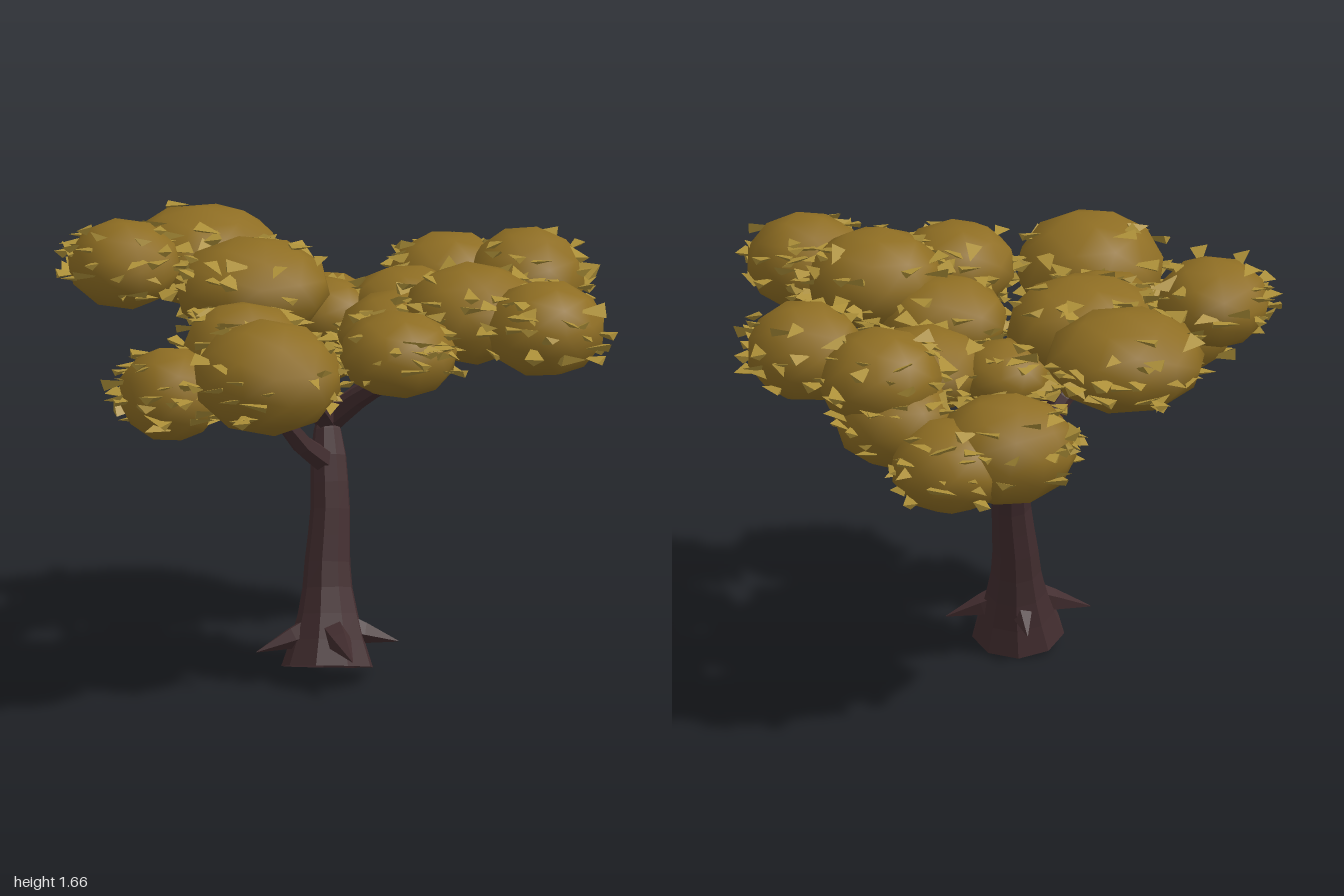
import * as THREE from 'three';
import { mergeGeometries } from 'three/addons/utils/BufferGeometryUtils.js';

const bark = new THREE.MeshStandardMaterial({ color: 0x422d2f, flatShading: true, side: THREE.DoubleSide });
bark.name = 'dark bark';
const foliage = new THREE.MeshStandardMaterial({ color: 0x8f6e23 });
foliage.name = 'ochre foliage';
const leafColor = new THREE.MeshStandardMaterial({ color: 0xac8f38, flatShading: true });
leafColor.name = 'light leaf';

// Foliage clumps: centre x, y, z and radii rx, ry, rz
const CLUMPS = [
  [-0.38, 1.41, -0.59, 0.29, 0.18, 0.28],
  [-0.31, 1.39, -0.18, 0.285, 0.18, 0.27],
  [-0.77, 1.49, -0.28, 0.205, 0.16, 0.225],
  [0.07, 1.10, -0.61, 0.26, 0.20, 0.24],
  [0.28, 1.06, -0.63, 0.22, 0.17, 0.23],
  [0.49, 1.31, -0.35, 0.23, 0.18, 0.23],
  [0.45, 1.17, -0.40, 0.215, 0.18, 0.22],
  [0.73, 1.36, -0.15, 0.215, 0.18, 0.22],
  [0.29, 1.27, -0.18, 0.22, 0.15, 0.22],
  [0.00, 1.25, -0.26, 0.17, 0.13, 0.17],
  [-0.45, 1.26, 0.20, 0.23, 0.18, 0.21],
  [-0.77, 1.16, 0.34, 0.19, 0.17, 0.21],
  [-0.29, 1.15, 0.22, 0.20, 0.15, 0.19],
  [-0.49, 1.285, 0.65, 0.27, 0.205, 0.28],
  [0.01, 1.335, 0.65, 0.215, 0.155, 0.225],
  [0.14, 1.29, 0.23, 0.235, 0.16, 0.215],
  [0.36, 1.40, 0.41, 0.25, 0.18, 0.25],
  [0.57, 1.39, 0.65, 0.22, 0.175, 0.215],
];

// Small seeded random generator
function makeRandom(seed) {
  let s = seed;
  return () => {
    s = (s * 16807) % 2147483647;
    return s / 2147483647;
  };
}

// Tapered tube along a smooth path, with radii spread evenly along it
function limb(name, points, radii, sides, rings) {
  const path = new THREE.CatmullRomCurve3(points.map((p) => new THREE.Vector3(...p)));
  const geo = new THREE.TubeGeometry(path, rings, 1, sides, false);
  const pos = geo.attributes.position;
  const v = new THREE.Vector3();
  for (let i = 0; i <= rings; i++) {
    const centre = path.getPointAt(i / rings);
    const f = (i / rings) * (radii.length - 1);
    const k = Math.min(Math.floor(f), radii.length - 2);
    const r = THREE.MathUtils.lerp(radii[k], radii[k + 1], f - k);
    for (let j = 0; j <= sides; j++) {
      const n = i * (sides + 1) + j;
      v.fromBufferAttribute(pos, n).sub(centre).multiplyScalar(r).add(centre);
      pos.setXYZ(n, v.x, v.y, v.z);
    }
  }
  const mesh = new THREE.Mesh(geo, bark);
  mesh.name = name;
  return mesh;
}

function buildTrunk() {
  const g = new THREE.Group();
  g.name = 'trunk';
  // Leaning stem, open at the flared foot
  g.add(limb('trunkStem', [
    [-0.14, 0.045, 0.235], [-0.125, 0.2, 0.19], [-0.11, 0.4, 0.13],
    [-0.085, 0.6, 0.08], [-0.075, 0.78, 0.02], [-0.06, 0.96, -0.06],
  ], [0.172, 0.125, 0.095, 0.083, 0.075, 0.07, 0.065, 0.02], 9, 10));
  // Pointed roots around the base
  for (const tip of [[-0.41, 0.12, 0.23], [0.13, 0.12, 0.23], [-0.13, 0.14, 0.53], [-0.13, 0.11, 0.0]]) {
    const start = [-0.13, 0.2, 0.2];
    const mid = start.map((s, i) => s + (tip[i] - s) * 0.55);
    g.add(limb('rootSpike', [start, mid, tip], [0.07, 0.042, 0.002], 5, 4));
  }
  return g;
}

function buildBranches() {
  const g = new THREE.Group();
  g.name = 'branches';
  const top = [-0.06, 0.9, -0.04];
  const paths = [
    [[-0.08, 0.76, 0.03], [-0.2, 0.86, 0.1], [-0.32, 1.0, 0.16], [-0.58, 1.08, 0.28]],
    [[-0.07, 0.76, 0.01], [-0.03, 0.9, -0.17], [0.06, 0.97, -0.4], [0.2, 1.05, -0.6]],
    [top, [0.03, 1.02, 0.08], [0.13, 1.13, 0.22], [0.3, 1.32, 0.4]],
    [top, [0.1, 1.0, -0.08], [0.27, 1.07, -0.16], [0.48, 1.25, -0.3]],
    [top, [-0.13, 1.04, -0.11], [-0.22, 1.18, -0.17], [-0.33, 1.35, -0.3]],
    [top, [-0.15, 1.02, 0.09], [-0.26, 1.12, 0.26], [-0.45, 1.25, 0.58]],
  ];
  for (const p of paths) g.add(limb('branch', p, [0.05, 0.037, 0.028, 0.015], 6, 8));
  return g;
}

function buildFoliage() {
  const g = new THREE.Group();
  g.name = 'canopy';
  // Coarse ball with smooth normals, so only its outline looks faceted
  const ball = new THREE.IcosahedronGeometry(1.025, 1);
  const rand = makeRandom(4217);
  CLUMPS.forEach(([x, y, z, rx, ry, rz], i) => {
    const geo = ball.clone().rotateY(i * 1.3).rotateX(i * 0.7);
    const clump = new THREE.Mesh(geo, foliage);
    clump.name = 'foliageClump';
    clump.position.set(x, y, z);
    clump.scale.set(rx, ry, rz);
    g.add(clump);

    // Thin pointed leaves lying nearly flat around the sides of the clump
    const leaves = [];
    for (let n = 0; n < 42; n++) {
      const h = -0.55 + 1.35 * rand();
      const a = rand() * Math.PI * 2;
      const w = Math.sqrt(1 - h * h);
      const out = 0.98 + rand() * 0.08;
      const p = new THREE.Vector3(
        x + rx * w * Math.cos(a) * out, y + ry * h * out, z + rz * w * Math.sin(a) * out);
      const turn = new THREE.Euler((rand() - 0.5) * 0.9, rand() * Math.PI * 2, (rand() - 0.5) * 0.9);
      const size = 0.75 + rand() * 0.5;
      // Skip leaves buried in a neighbouring clump
      const buried = CLUMPS.some(([cx, cy, cz, a1, b1, c1], j) => j !== i &&
        ((p.x - cx) / a1) ** 2 + ((p.y - cy) / b1) ** 2 + ((p.z - cz) / c1) ** 2 < 0.9);
      if (buried) continue;
      const leaf = new THREE.ConeGeometry(0.036, 0.088, 3).rotateX(Math.PI / 2);
      leaf.scale(size, size * 0.45, size);
      leaf.applyMatrix4(new THREE.Matrix4().makeRotationFromEuler(turn).setPosition(p));
      leaves.push(leaf);
    }
    if (leaves.length) {
      const mesh = new THREE.Mesh(mergeGeometries(leaves), leafColor);
      mesh.name = 'clumpLeaves';
      g.add(mesh);
    }
  });
  return g;
}

export function createModel() {
  const tree = new THREE.Group();
  tree.name = 'tree';
  tree.add(buildTrunk(), buildBranches(), buildFoliage());
  return tree;
}
